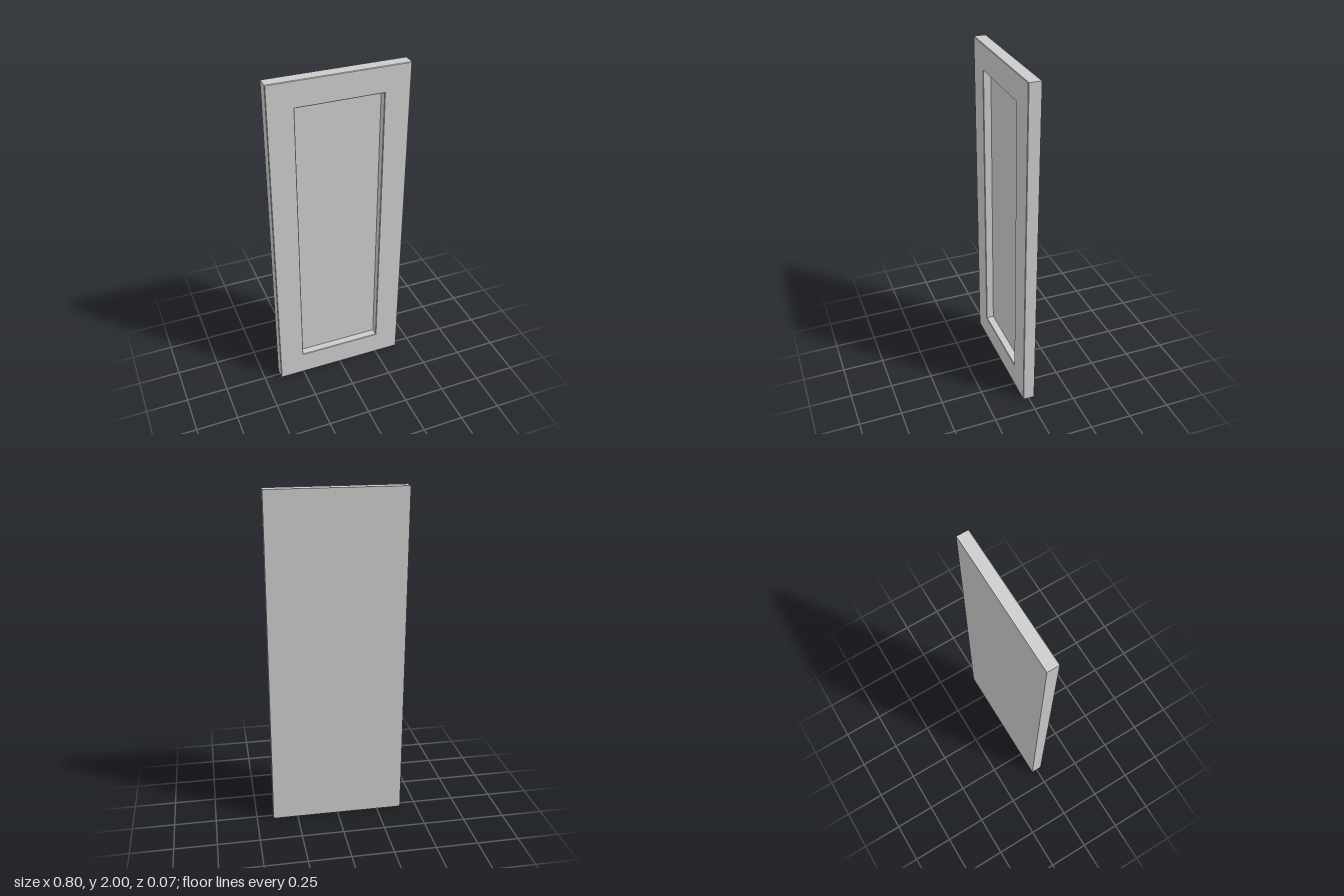
import * as THREE from 'three';

const W = 0.8, H = 2, T = 0.07;   // overall door size
const BORDER = 0.15;              // width of stiles and rails
const BEVEL = 0.003;              // eased front edges
const RECESS = 0.046;             // depth of the panel below the frame face

// Sweeps a profile of [inset from the outer edge, z] around the door rectangle.
function rectangularSweep(profile) {
  const ring = ([inset, z]) => {
    const x = W / 2 - inset, y0 = inset, y1 = H - inset;
    return [[-x, y0, z], [x, y0, z], [x, y1, z], [-x, y1, z]];
  };
  const positions = [];
  for (let k = 0; k < profile.length - 1; k++) {
    const a = ring(profile[k]), b = ring(profile[k + 1]);
    for (let i = 0; i < 4; i++) {
      const j = (i + 1) % 4;
      positions.push(...a[i], ...a[j], ...b[j], ...a[i], ...b[j], ...b[i]);
    }
  }
  const geometry = new THREE.BufferGeometry();
  geometry.setAttribute('position', new THREE.Float32BufferAttribute(positions, 3));
  geometry.computeVertexNormals();
  return geometry;
}

export function createModel() {
  const door = new THREE.Group();
  door.name = 'cabinetDoor';
  const material = new THREE.MeshStandardMaterial({ color: 0xcccccc, flatShading: true });
  const add = (name, geometry, y = 0, z = 0, turn = 0) => {
    const mesh = new THREE.Mesh(geometry, material);
    mesh.name = name;
    mesh.position.set(0, y, z);
    mesh.rotation.y = turn;
    door.add(mesh);
  };

  // Frame: outer sides, eased front edges, front face and recess walls
  const front = T / 2;
  add('frame', rectangularSweep([
    [0, -front],
    [0, front - BEVEL],
    [BEVEL, front],
    [BORDER - BEVEL, front],
    [BORDER, front - BEVEL],
    [BORDER, front - RECESS],
  ]));

  // Sunken centre panel
  add('centrePanel', new THREE.PlaneGeometry(W - 2 * BORDER, H - 2 * BORDER), H / 2, front - RECESS);

  // Flat back
  add('back', new THREE.PlaneGeometry(W, H), H / 2, -front, Math.PI);

  return door;
}
